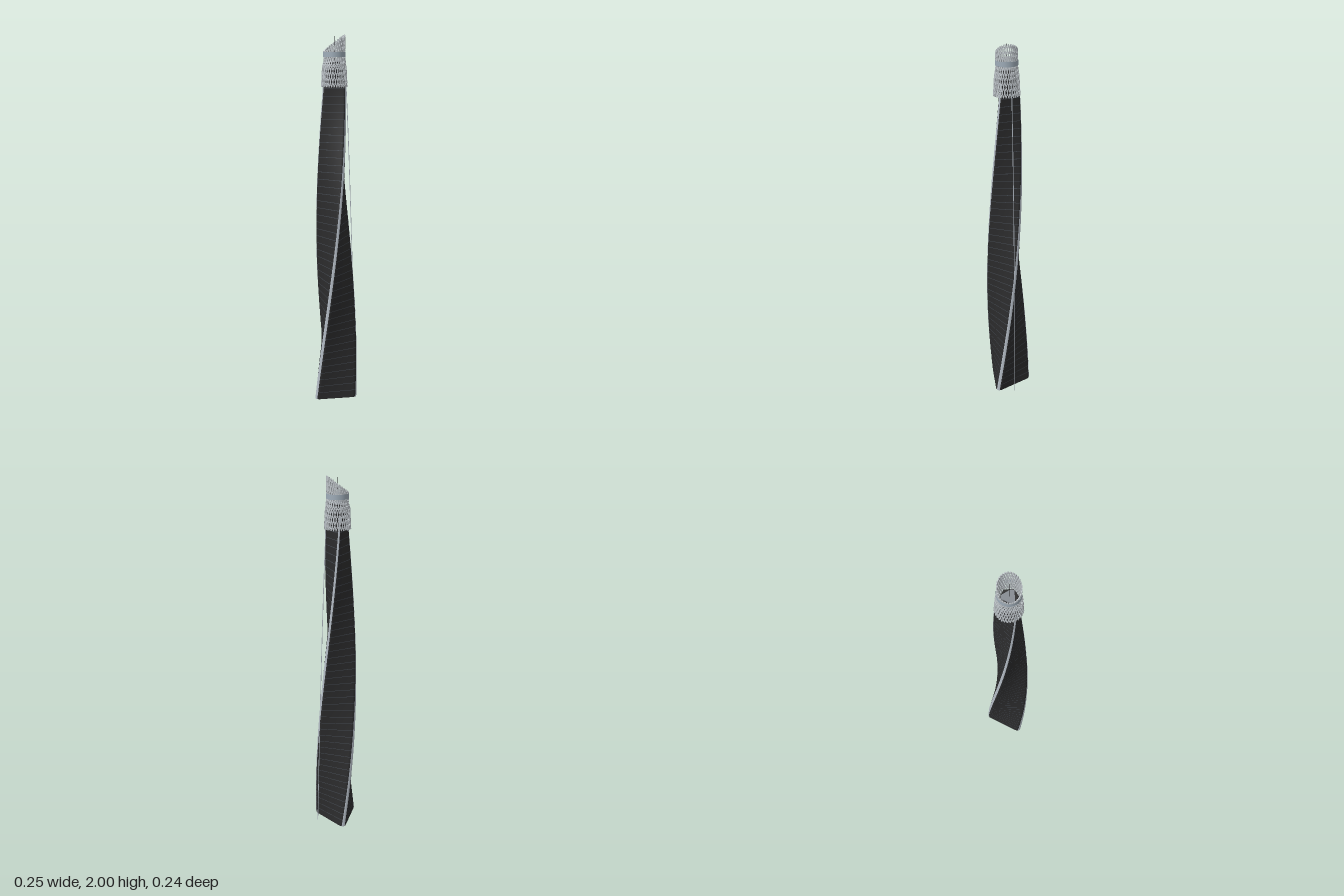
import * as THREE from 'three';
import { mergeGeometries } from 'three/addons/utils/BufferGeometryUtils.js';

const CX = -0.01, CZ = 0.01;              // tower axis
const BODY_TOP = 1.8;
const material = (name, color, side = THREE.FrontSide) => {
  const m = new THREE.MeshStandardMaterial({ color, side });
  m.name = name;
  return m;
};

// Corner distance and twist of the triangular plan at height y
const cornerRadius = (y) => 0.130 - 0.020 * y - 0.0095 * y * y;
const twist = (y) => -THREE.MathUtils.degToRad(88 + 65 * y);
const polar = (r, a, y) => new THREE.Vector3(CX + r * Math.cos(a), y, CZ + r * Math.sin(a));

// Point s (0 to 6) on the rounded corner c of the plan
function cornerPoint(y, c, s, scale = 1, round = 0.17) {
  const R = cornerRadius(y) * scale, fillet = round * R;
  const a = twist(y) + c * Math.PI * 2 / 3;
  const b = a + (s / 6 - 0.5) * Math.PI * 2 / 3;
  return polar(R - fillet, a, y).add(
    new THREE.Vector3(fillet * Math.cos(b), 0, fillet * Math.sin(b)));
}

// Rounded triangle with straight subdivided sides
function section(y, scale = 1, round = 0.17) {
  const pts = [];
  for (let c = 0; c < 3; c++) {
    for (let s = 0; s <= 6; s++) pts.push(cornerPoint(y, c, s, scale, round));
    const from = pts[pts.length - 1], to = cornerPoint(y, c + 1, 0, scale, round);
    for (let s = 1; s < 6; s++) pts.push(from.clone().lerp(to, s / 6));
  }
  return pts;
}

// Skin stretched over a stack of sections, closed into a ring or left as a strip
function loft(rings, closed = true) {
  const n = rings[0].length, index = [];
  for (let j = 0; j < rings.length - 1; j++) {
    for (let i = 0; i < (closed ? n : n - 1); i++) {
      const a = j * n + i, b = j * n + (i + 1) % n;
      index.push(a, a + n, b, b, a + n, b + n);
    }
  }
  const g = new THREE.BufferGeometry().setFromPoints(rings.flat());
  g.setIndex(index);
  g.computeVertexNormals();
  return g;
}

// Flat lid over one section
function lid(ring, y, up) {
  const n = ring.length, index = [];
  for (let i = 0; i < n; i++) {
    const k = (i + 1) % n;
    index.push(n, up ? k : i, up ? i : k);
  }
  const g = new THREE.BufferGeometry().setFromPoints([...ring, new THREE.Vector3(CX, y, CZ)]);
  g.setIndex(index);
  g.computeVertexNormals();
  return g;
}

// Square bar between two points, one side turned to the tower axis
function bar(a, b, t) {
  const m = a.clone().add(b).multiplyScalar(0.5);
  const up = b.clone().sub(a), length = up.length();
  up.normalize();
  const out = new THREE.Vector3(m.x - CX, 0, m.z - CZ);
  out.addScaledVector(up, -out.dot(up)).normalize();
  const across = new THREE.Vector3().crossVectors(up, out);
  const place = new THREE.Matrix4().makeBasis(across, up, out).setPosition(m);
  return new THREE.BoxGeometry(t, length, t).applyMatrix4(place);
}

// Crossing bars on a round wall; at(angle, v) gives a point, v from 0 to 1
function lattice(at, count, rows, t) {
  const bars = [], step = Math.PI * 2 / count;
  for (let i = 0; i < count; i++) {
    for (let j = 0; j < rows; j++) {
      const a = (i + j / 2) * step;
      for (const s of [-0.5, 0.5]) bars.push(bar(at(a, j / rows), at(a + s * step, (j + 1) / rows), t));
    }
  }
  return mergeGeometries(bars);
}

export function createModel() {
  const tower = new THREE.Group();
  tower.name = 'twistedTower';
  const glass = material('dark glass', 0x2b2b2c);
  const floorLine = material('floor line grey', 0x444a52, THREE.DoubleSide);
  const rib = material('pale rib', 0xb4bcc5, THREE.DoubleSide);
  const crownSteel = material('crown steel', 0xbcc2c7);
  const hoopBlue = material('hoop blue grey', 0x9eacb8, THREE.DoubleSide);
  const roofGrey = material('roof grey', 0x868b92);
  const add = (name, geometry, mat) => {
    const mesh = new THREE.Mesh(geometry, mat);
    mesh.name = name;
    tower.add(mesh);
  };

  // Twisting, tapering shaft
  const rings = [];
  for (let j = 0; j <= 72; j++) rings.push(section(BODY_TOP * j / 72));
  add('shaft', loft(rings), glass);
  add('shaftRoof', lid(rings[72], BODY_TOP, true), glass);
  add('shaftUnderside', lid(rings[0], 0, false), glass);
  add('undersidePanel', lid(section(-0.001, 0.5), -0.001, false), floorLine);

  // Thin floor lines
  const floors = [];
  for (let y = 0.04; y < 1.73; y += 0.04) {
    floors.push(loft([section(y, 1.007), section(y + 0.003, 1.007)]));
  }
  add('floorLines', mergeGeometries(floors), floorLine);

  // Pale strips that climb the three corners
  for (let c = 0; c < 3; c++) {
    const strip = [];
    for (let j = 0; j <= 72; j++) {
      const y = BODY_TOP * j / 72;
      strip.push([1.8, 2.4, 3, 3.6, 4.2].map((s) => cornerPoint(y, c, s, 1.018)));
    }
    add('cornerRib', loft(strip, false), rib);
  }

  // Slender free-standing rail beside the shaft
  const rail = new THREE.CatmullRomCurve3([
    [0.118, 0, -0.012], [0.106, 0.45, -0.014], [0.092, 0.9, -0.014],
    [0.073, 1.4, -0.01], [0.054, 1.8, -0.005]].map((p) => new THREE.Vector3(...p)));
  add('outerRail', new THREE.TubeGeometry(rail, 40, 0.002, 5), rib);

  // Round lattice collar at the head of the shaft
  const collar = (a, v) => polar(0.068 - 0.006 * v, a, 1.73 + 0.11 * v);
  add('collarLattice', lattice(collar, 32, 4, 0.0045), crownSteel);

  // Slanted open crown, tallest on one side
  const rim = (a) => 1.955 + 0.042 * Math.cos(a);
  const crown = (a, v) => polar(0.061 - 0.006 * Math.min(1, v * 3), a, THREE.MathUtils.lerp(1.835, rim(a), v));
  add('crownLattice', lattice(crown, 30, 6, 0.0048), crownSteel);

  // Hoop around the crown
  add('crownHoop', new THREE.CylinderGeometry(0.0585, 0.0585, 0.026, 48, 1, true)
    .translate(CX, 1.897, CZ), hoopBlue);

  // Core, triangular roof plate and mast inside the crown
  add('crownCore', new THREE.CylinderGeometry(0.044, 0.05, 0.08, 6).translate(CX, 1.82, CZ), glass);
  const plate = section(0, 1, 0.35).map((p) => new THREE.Vector3(
    CX + (p.x - CX) * 0.29, 1.866, CZ + (p.z - CZ) * 0.29));
  const plateFoot = plate.map((p) => p.clone().setY(1.858));
  add('roofPlate', mergeGeometries([loft([plateFoot, plate]), lid(plate, 1.866, true)]), roofGrey);
  add('mast', new THREE.CylinderGeometry(0.0008, 0.0012, 0.13, 6).translate(CX, 1.925, CZ), glass);

  return tower;
}
